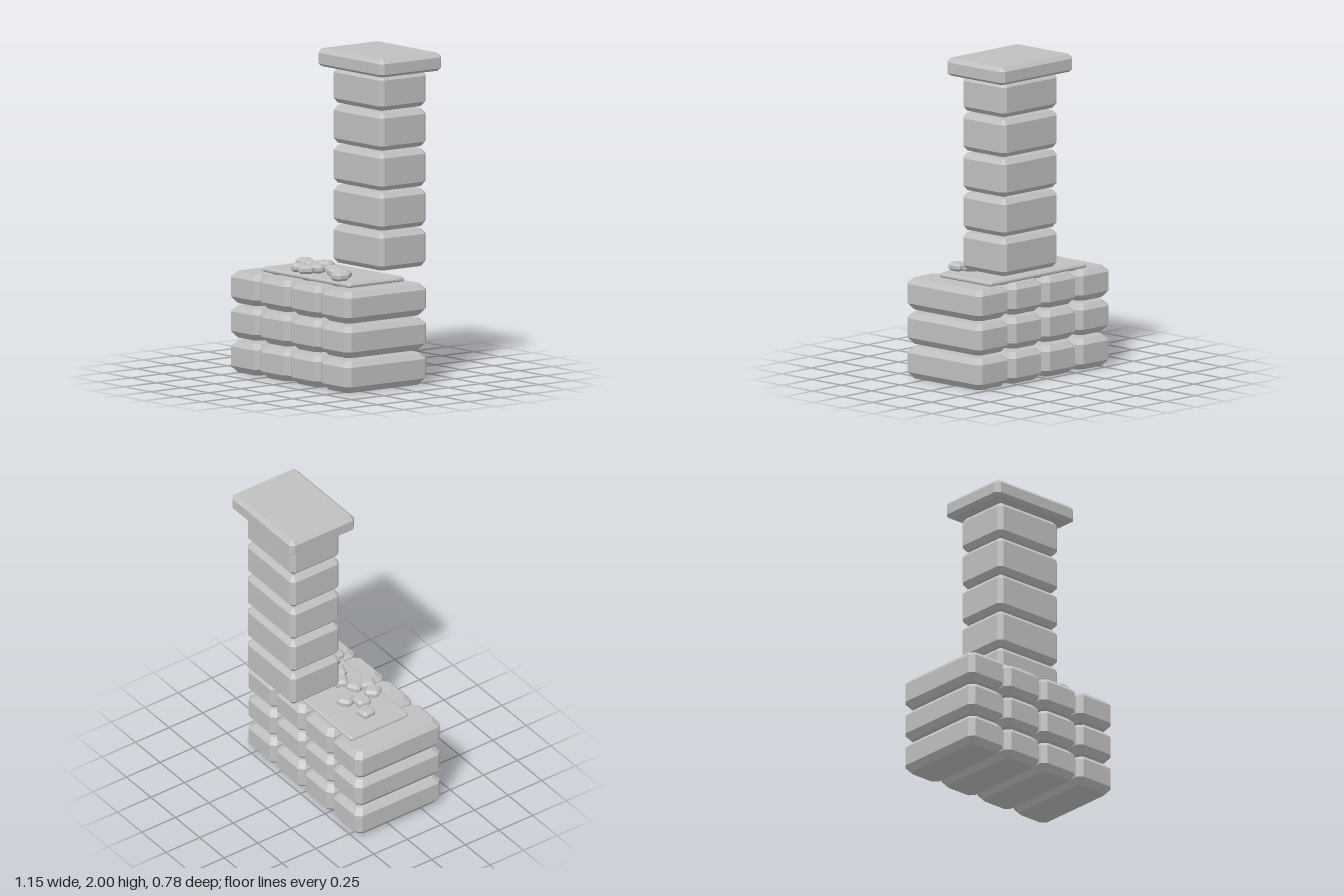
import * as THREE from 'three';
import { ConvexGeometry } from 'three/addons/geometries/ConvexGeometry.js';

// Octagonal outline of a rectangle with cut corners at height y
function octagon(hx, hz, cut, y) {
  const points = [];
  for (const sx of [-1, 1]) for (const sz of [-1, 1]) {
    points.push(new THREE.Vector3(sx * hx, y, sz * (hz - cut)));
    points.push(new THREE.Vector3(sx * (hx - cut), y, sz * hz));
  }
  return points;
}

// Stone block with every edge bevelled; capCut trims the corners of its top and bottom faces
function stone(w, h, d, bevel, capCut, rise = bevel, lowRise = rise) {
  const hx = w / 2, hy = h / 2, hz = d / 2;
  return new ConvexGeometry([
    ...octagon(hx, hz, bevel, hy - rise),
    ...octagon(hx, hz, bevel, -hy + lowRise),
    ...octagon(hx - bevel, hz - bevel, capCut, hy),
    ...octagon(hx - bevel, hz - bevel, capCut, -hy),
  ]);
}

export function createModel() {
  const group = new THREE.Group();
  const grey = new THREE.MeshStandardMaterial({ color: 0xc0c0c0 });
  grey.name = 'stone grey';

  const add = (name, geometry, x, y, z, turn = 0) => {
    const mesh = new THREE.Mesh(geometry, grey);
    mesh.name = name;
    mesh.position.set(x, y, z);
    mesh.rotation.y = THREE.MathUtils.degToRad(turn);
    group.add(mesh);
  };

  // Hearth: three courses of four long blocks
  const hearthBlock = stone(0.277, 0.192, 0.63, 0.031, 0.03, 0.034, 0.04);
  for (const y of [0.096, 0.308, 0.518]) {
    for (let i = 0; i < 4; i++) add('hearthBlock', hearthBlock, (i - 1.5) * 0.291, y, 0.075);
  }

  // Fire bed slab
  add('fireBed', stone(0.842, 0.034, 0.433, 0.012, 0.002), -0.003, 0.626, 0.034);

  // Coals: x, z, turn in degrees
  const coal = stone(0.095, 0.052, 0.095, 0.018, 0.006, 0.016);
  const coals = [
    [-0.286, 0.028, 6], [-0.18, 0.075, -4], [-0.122, -0.002, 36], [-0.143, 0.183, 42],
    [-0.06, 0.203, -27], [-0.037, 0.13, 27], [0.055, 0.085, -30], [0.14, 0.13, -20],
    [0.24, 0.155, 32], [0.288, 0.217, 0],
  ];
  for (const [x, z, turn] of coals) add('coal', coal, x, 0.667, z, turn);

  // Chimney: five stacked blocks, the top one a little shorter
  for (let i = 0; i < 5; i++) {
    const bottom = 0.698 + i * 0.2435, h = i === 4 ? 0.217 : 0.229;
    add('chimneyBlock', stone(0.482, h, 0.365, 0.027, 0.008, 0.03), 0.214, bottom + h / 2, -0.148);
  }

  // Chimney cap
  add('chimneyCap', stone(0.631, 0.11, 0.483, 0.026, 0.002, 0.026, 0.018), 0.215, 1.945, -0.1485);

  return group;
}
